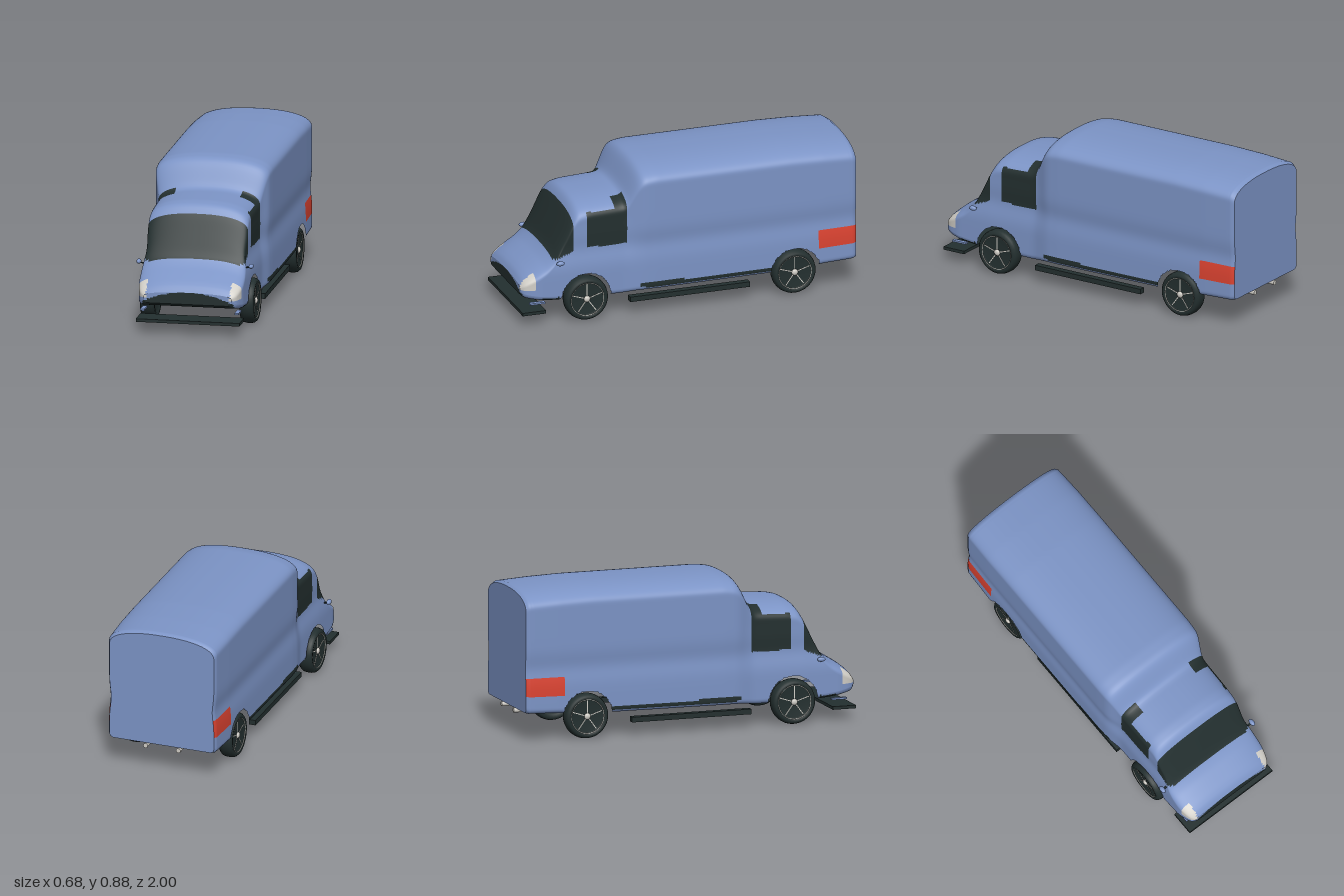
import * as THREE from 'three';

const mat = (name, color) => Object.assign(new THREE.MeshStandardMaterial({ color }), { name });
const paint = mat('bluePaint', 0x7c94c6);
const dark = mat('darkTrim', 0x232f2f);
const red = mat('redLamp', 0xdc4331);
const silver = mat('silver', 0xd2cfc8);
const MATS = [paint, dark, red, silver];

const WHEEL_Z = [0.62, -0.63], WHEEL_Y = 0.13, ARCH = 0.147;

// Body stations: z, top, bottom, roof corner height, lower half-width, upper half-width
const STATIONS = [
  [-1.0, 0.85, 0.17, 0.1, 0.318, 0.318],
  [-0.98, 0.862, 0.165, 0.1, 0.328, 0.328],
  [-0.8, 0.872, 0.16, 0.1, 0.333, 0.333],
  [-0.6, 0.878, 0.145, 0.1, 0.333, 0.333],
  [0.2, 0.877, 0.14, 0.1, 0.333, 0.333],
  [0.27, 0.868, 0.14, 0.1, 0.33, 0.33],
  [0.3, 0.85, 0.138, 0.1, 0.325, 0.322],
  [0.33, 0.795, 0.135, 0.1, 0.318, 0.308],
  [0.37, 0.715, 0.13, 0.1, 0.309, 0.293],
  [0.4, 0.705, 0.128, 0.1, 0.307, 0.291],
  [0.6, 0.696, 0.13, 0.1, 0.306, 0.289],
  [0.66, 0.683, 0.132, 0.1, 0.306, 0.288],
  [0.69, 0.64, 0.133, 0.09, 0.306, 0.288],
  [0.8, 0.41, 0.135, 0.07, 0.304, 0.28],
  [0.85, 0.365, 0.14, 0.07, 0.303, 0.28],
  [0.9, 0.335, 0.146, 0.07, 0.302, 0.28],
  [0.96, 0.298, 0.158, 0.06, 0.288, 0.27],
  [0.985, 0.275, 0.165, 0.05, 0.275, 0.26],
  [1.0, 0.248, 0.18, 0.03, 0.255, 0.25],
];

function sampleStation(z) {
  const n = STATIONS.length;
  const zc = Math.min(1, Math.max(-1, z));
  let i = 0;
  while (i < n - 2 && STATIONS[i + 1][0] < zc) i++;
  const a = STATIONS[i], b = STATIONS[i + 1], t = (zc - a[0]) / (b[0] - a[0]);
  return a.map((v, k) => v + (b[k] - v) * t);
}

// Softened station: averages neighbours so the kinks become rounded
function station(z) {
  if (Math.abs(z) > 0.975) return sampleStation(z);
  const s = [-0.016, -0.008, 0, 0.008, 0.016].map(d => sampleStation(z + d));
  return s[0].map((_, k) => s.reduce((sum, r) => sum + r[k], 0) / s.length);
}

// Half section from bottom centre to top centre, then mirrored to a closed ring
function section(z) {
  const [, top, bot, ry, wl, wu] = station(z);
  const width = y => {
    const t = THREE.MathUtils.smoothstep(y, 0.28, 0.6);
    return wl + (wu - wl) * t - 0.01 * Math.exp(-(((y - 0.42) / 0.07) ** 2));
  };
  const r = 0.025, w0 = width(bot + r), half = [];
  for (let i = 0; i < 12; i++) half.push([(w0 - r) * i / 12, bot]);
  for (let i = 0; i < 4; i++) {
    const a = i / 4 * Math.PI / 2;
    half.push([w0 - r + r * Math.sin(a), bot + r - r * Math.cos(a)]);
  }
  const y0 = bot + r, y1 = Math.max(y0 + 0.01, top - ry), wTop = width(y1);
  for (let i = 0; i < 54; i++) {
    const y = y0 + (y1 - y0) * i / 54;
    half.push([width(y), y]);
  }
  for (let i = 0; i <= 24; i++) {
    const a = i / 24 * Math.PI / 2;
    half.push([wTop * Math.max(0, Math.cos(a)) ** 0.85, y1 + (top - y1) * Math.sin(a) ** 0.85]);
  }
  const mirrored = half.slice(1, -1).reverse().map(([x, y]) => [-x, y]);
  return [...half, ...mirrored];
}

// Material index for a point on the body: 0 paint, 1 dark, 2 red, 3 silver
function colourAt(x, y, z, isFloor) {
  const ax = Math.abs(x);
  if (isFloor) return ax < 0.275 && z > -0.96 ? 1 : 0;
  if (z > 0.69 && z < 0.81 && y > 0.375 + (0.81 - z) * 0.35) return 1;            // windscreen
  if (z > 0.37 && z < 0.61 && ax > 0.19 && y > 0.43 && (y < 0.638 || z < 0.44)) return 1; // door windows
  if (z > 0.92 && ax > 0.243 && y > 0.21 && y < 0.297) return 3;                  // headlights
  if (z > 0.93 && ax < 0.265 && y < 0.25 - 0.9 * x * x) return 1;                 // grille
  if (z > 0.78 && y < 0.155) return 1;                                            // lower lip
  if (z < -0.77 && z > -0.9999 && ax > 0.3 && y > 0.265 && y < 0.37) return 2;    // tail lamps
  if (z < 0.3 && z > -0.5 && y > 0.16 && y < 0.183) return 1;                     // sill stripe
  return 0;
}

function buildBody() {
  const rings = [], CAP = 14;
  const addCap = (z, order) => {
    const pts = section(z), ys = pts.map(p => p[1]);
    const mid = (Math.min(...ys) + Math.max(...ys)) / 2;
    for (const s of order) rings.push(pts.map(([x, y]) => [x * s, mid + (y - mid) * s, z]));
  };
  const steps = Array.from({ length: CAP + 1 }, (_, i) => i / CAP);
  addCap(-1, steps);
  for (let k = -100; k <= 100; k++) rings.push(section(k / 100).map(([x, y]) => [x, y, k / 100]));
  addCap(1, steps.slice().reverse());

  const n = rings[0].length, verts = rings.flat(), lists = MATS.map(() => []);
  for (let k = 0; k < rings.length - 1; k++) {
    if (k === CAP || k === rings.length - CAP - 2) continue;   // crisp edge between cap and side
    const cap = k < CAP || k > rings.length - CAP - 2;
    for (let i = 0; i < n; i++) {
      const j = (i + 1) % n;
      const a = k * n + i, b = k * n + j, c = b + n, d = a + n;
      const [x, y, z] = [0, 1, 2].map(q => (verts[a][q] + verts[b][q] + verts[c][q] + verts[d][q]) / 4);
      // wheel arch openings
      if (Math.abs(x) > 0.2 && WHEEL_Z.some(w => Math.hypot(z - w, y - WHEEL_Y) < ARCH)) continue;
      const isFloor = !cap && (i < 13 || i >= n - 13);
      lists[colourAt(x, y, z, isFloor)].push(a, b, c, a, c, d);
    }
  }
  // pull the cut edge onto a clean circle
  for (const v of verts) for (const w of WHEEL_Z) {
    const d = Math.hypot(v[2] - w, v[1] - WHEEL_Y);
    if (Math.abs(v[0]) > 0.2 && d < ARCH && d > ARCH - 0.02) {
      v[2] = w + (v[2] - w) * ARCH / d;
      v[1] = WHEEL_Y + (v[1] - WHEEL_Y) * ARCH / d;
    }
  }
  const geo = new THREE.BufferGeometry();
  geo.setAttribute('position', new THREE.Float32BufferAttribute(verts.flat(), 3));
  geo.setIndex(lists.flat());
  let start = 0;
  lists.forEach((l, m) => { geo.addGroup(start, l.length, m); start += l.length; });
  geo.computeVertexNormals();
  return new THREE.Mesh(geo, MATS);
}

function add(parent, name, geo, material, x = 0, y = 0, z = 0) {
  const m = new THREE.Mesh(geo, material);
  m.name = name;
  m.position.set(x, y, z);
  parent.add(m);
  return m;
}

// Wheel with its axle along x, outer face towards +x
function buildWheel() {
  const g = new THREE.Group();
  const profile = [[0, -0.03], [0.085, -0.03], [0.095, -0.04], [0.115, -0.042], [0.126, -0.03], [0.13, -0.012],
    [0.13, 0.012], [0.126, 0.03], [0.115, 0.042], [0.1, 0.04], [0.09, 0.03], [0, 0.03]];
  const tyre = new THREE.LatheGeometry(profile.map(p => new THREE.Vector2(...p)), 36);
  add(g, 'tyre', tyre.rotateZ(-Math.PI / 2), dark);
  add(g, 'rimRing', new THREE.TorusGeometry(0.098, 0.0022, 6, 40).rotateY(Math.PI / 2), silver, 0.0385);
  add(g, 'hubCap', new THREE.SphereGeometry(0.019, 16, 10).scale(0.6, 1, 1), silver, 0.032);
  for (let i = 0; i < 5; i++) {
    const spoke = new THREE.BoxGeometry(0.004, 0.09, 0.005).translate(0, 0.05, 0);
    add(g, 'spoke', spoke.rotateX(i * Math.PI * 0.4), silver, 0.03);
  }
  return g;
}

export function createModel() {
  const van = new THREE.Group();
  van.name = 'van';
  const body = buildBody();
  body.name = 'body';
  van.add(body);

  add(van, 'frontBumper', new THREE.BoxGeometry(0.6, 0.018, 0.14), dark, 0, 0.074, 0.93);

  for (const s of [1, -1]) {
    WHEEL_Z.forEach((z, i) => {
      const wheel = buildWheel();
      wheel.name = i ? 'rearWheel' : 'frontWheel';
      wheel.position.set(s * 0.288, WHEEL_Y, z);
      if (s < 0) wheel.rotation.y = Math.PI;
      van.add(wheel);
    });
    add(van, 'sideStep', new THREE.BoxGeometry(0.04, 0.03, 0.72), dark, s * 0.302, 0.092, 0);
    add(van, 'bumperBracket', new THREE.BoxGeometry(0.025, 0.01, 0.09), paint, s * 0.273, 0.124, 0.905);
    add(van, 'mirrorStalk', new THREE.BoxGeometry(0.04, 0.006, 0.01), dark, s * 0.3, 0.359, 0.78);
    add(van, 'mirror', new THREE.SphereGeometry(0.014, 16, 12).scale(1, 1, 1.7), paint, s * 0.325, 0.367, 0.782);
    add(van, 'exhaustPipe', new THREE.CylinderGeometry(0.014, 0.014, 0.045, 16).rotateX(Math.PI / 2), silver, s * 0.1, 0.15, -0.975);
  }
  return van;
}
